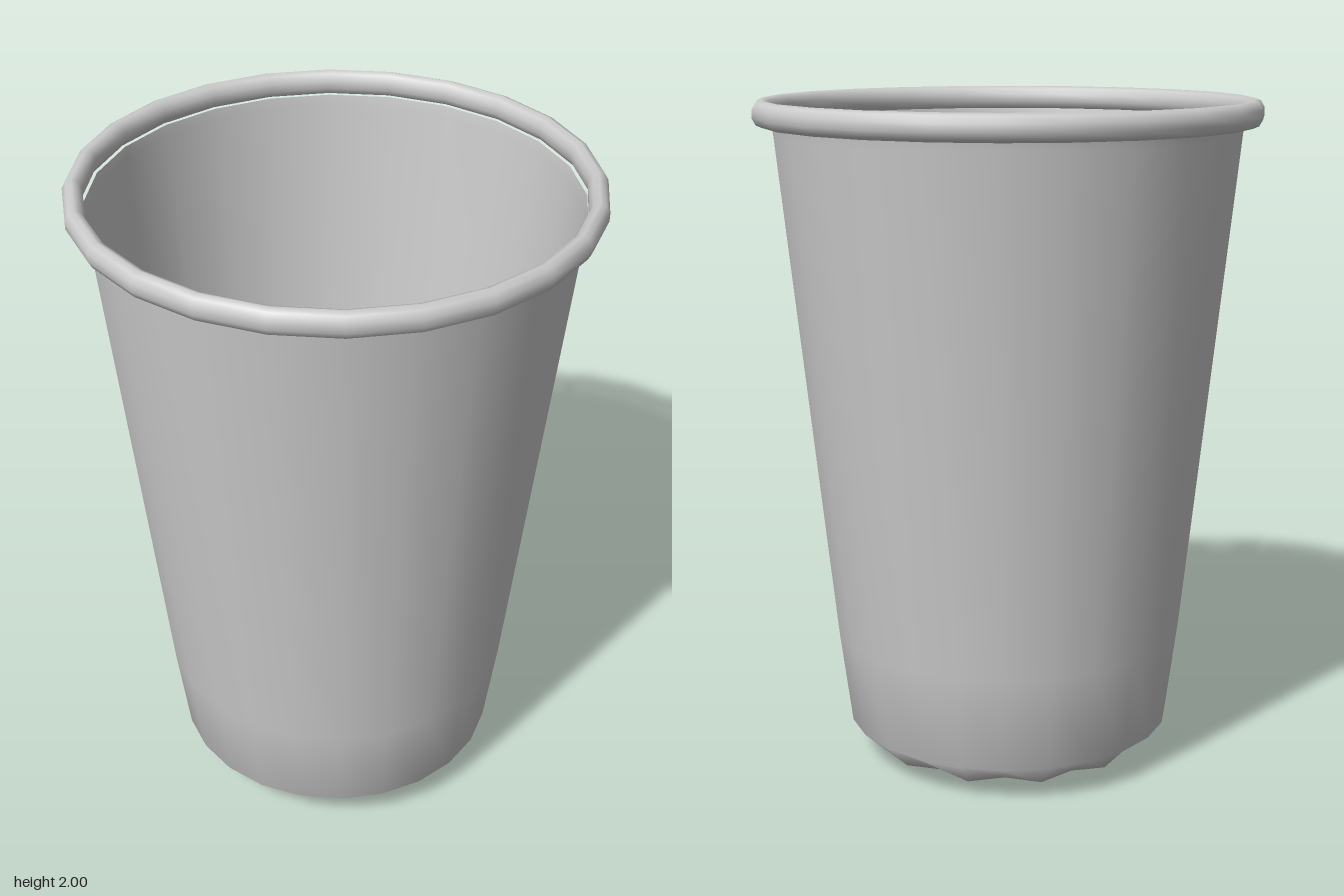
import * as THREE from 'three';
import { mergeVertices } from 'three/addons/utils/BufferGeometryUtils.js';

const SIDES = 24;
const material = new THREE.MeshStandardMaterial({ color: 0xcccccc, side: THREE.DoubleSide });

// Revolve a profile, then weld the seam so the shading runs smoothly round
function revolve(name, profile, reshape) {
  const geo = new THREE.LatheGeometry(profile.map(([r, y]) => new THREE.Vector2(r, y)), SIDES);
  if (reshape) reshape(geo.attributes.position, profile.length);
  geo.deleteAttribute('uv');
  geo.deleteAttribute('normal');
  const welded = mergeVertices(geo, 1e-4);
  welded.computeVertexNormals();
  const mesh = new THREE.Mesh(welded, material);
  mesh.name = name;
  return mesh;
}

export function createModel() {
  const cup = new THREE.Group();
  cup.name = 'cup';

  // Thin tapered wall with a shallow pointed base; every second
  // vertex of the base ring is drawn in to give twelve scallops
  const wall = [[0, 0], [0.42, 0.035], [0.493, 0.11], [0.53, 0.4], [0.685, 1.9], [0.69, 1.93]];
  cup.add(revolve('cupWall', wall, (pos, rows) => {
    for (let s = 1; s < SIDES; s += 2) {
      const i = s * rows + 1;
      pos.setXYZ(i, pos.getX(i) * 0.93, 0.042, pos.getZ(i) * 0.93);
    }
  }));

  // Rolled lip
  const lip = [];
  for (let i = 0; i <= 10; i++) {
    const a = (i / 10) * Math.PI * 2 - Math.PI / 2;
    lip.push([0.717 + 0.029 * Math.cos(a), 1.962 + 0.038 * Math.sin(a)]);
  }
  cup.add(revolve('rolledRim', lip));

  return cup;
}
